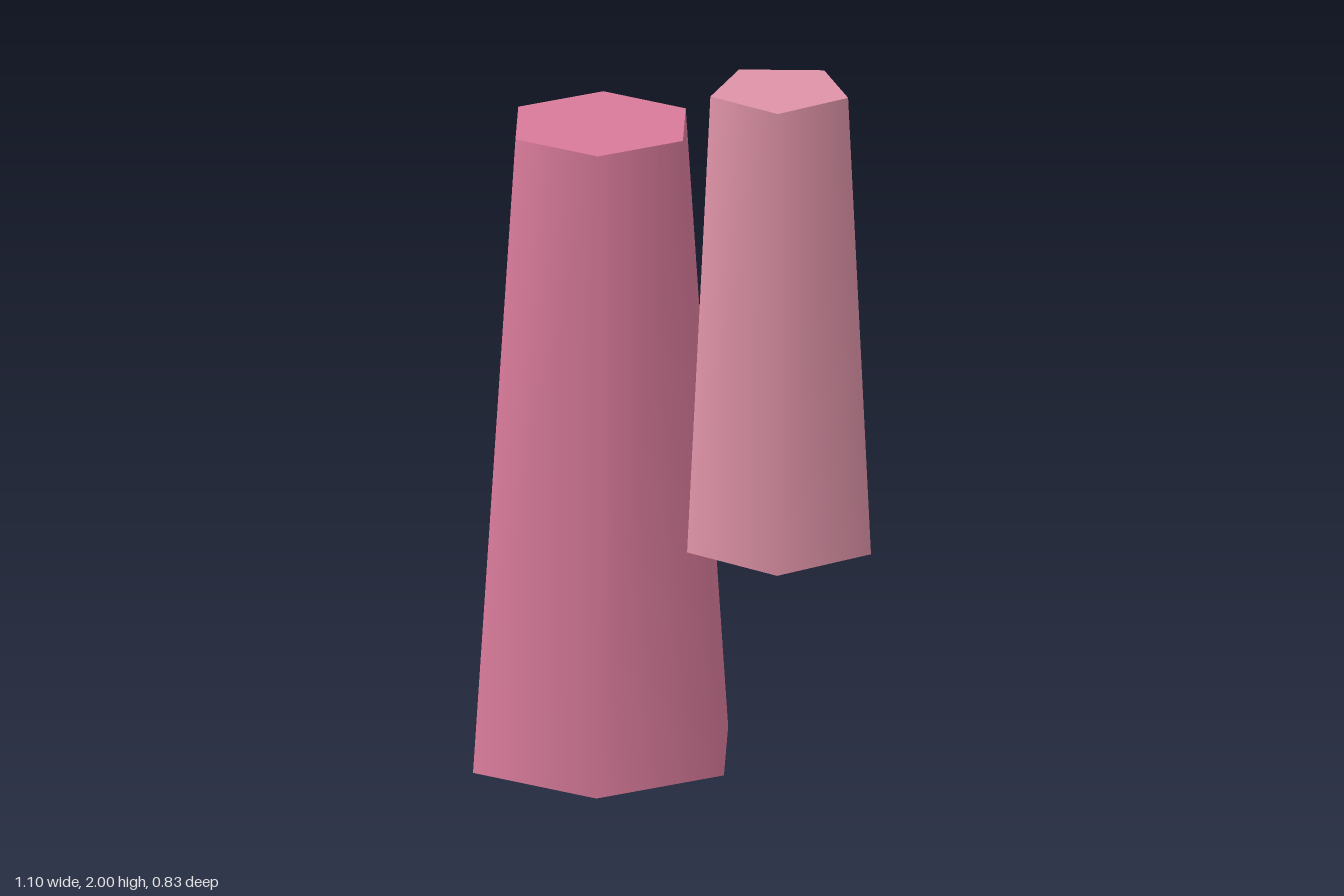
import * as THREE from 'three';

// Tapered prism with smooth sides, standing on y = base
function crystal(name, color, sides, topRadius, bottomRadius, base, top, x, z) {
  const height = top - base;
  const mesh = new THREE.Mesh(
    new THREE.CylinderGeometry(topRadius, bottomRadius, height, sides),
    new THREE.MeshStandardMaterial({ color })
  );
  mesh.name = name;
  mesh.position.set(x, base + height / 2, z);
  return mesh;
}

export function createModel() {
  const group = new THREE.Group();
  group.name = 'crystalColumns';
  group.add(
    // Tall six-sided column on the ground
    crystal('mainColumn', 0xd87a9a, 6, 0.267, 0.4, 0, 1.835, -0.205, -0.018),
    // Smaller five-sided column raised against its side
    crystal('sideColumn', 0xdf93a8, 5, 0.2, 0.267, 0.67, 2, 0.295, 0.148)
  );
  return group;
}
